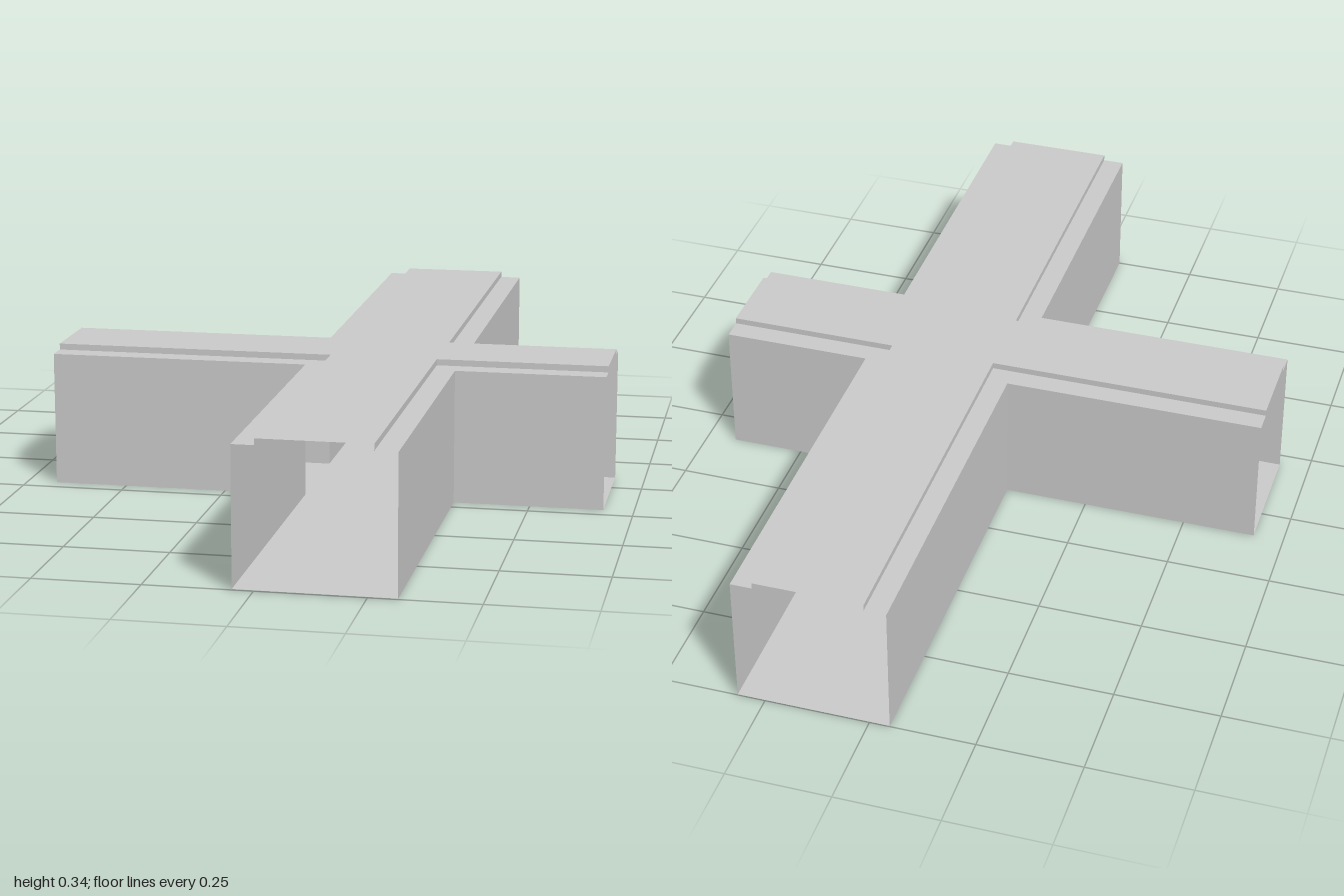
import * as THREE from 'three';

const H = 0.34, LEDGE_Y = 0.325, STEP = 0.052;
const END_X = 0.677, END_Z = 1;
// Outer faces of the two crossing corridors
const X0 = -0.048, X1 = 0.316, Z0 = -0.09, Z1 = 0.208;

const material = new THREE.MeshStandardMaterial({
  color: 0xcccccc, flatShading: true, side: THREE.DoubleSide,
});

// Flat plus-shaped sheet, drawn in from the outer walls by inset
function crossSheet(name, inset, y, faceUp) {
  const a = X0 + inset, b = X1 - inset, c = Z0 + inset, d = Z1 - inset;
  const outline = [
    [a, -END_Z], [b, -END_Z], [b, c], [END_X, c], [END_X, d], [b, d],
    [b, END_Z], [a, END_Z], [a, d], [-END_X, d], [-END_X, c], [a, c],
  ];
  // Shape y maps to -z when facing up, +z when facing down
  const k = faceUp ? -1 : 1;
  const shape = new THREE.Shape(outline.map(([x, z]) => new THREE.Vector2(x, z * k)));
  const geometry = new THREE.ShapeGeometry(shape);
  geometry.rotateX(faceUp ? -Math.PI / 2 : Math.PI / 2);
  const mesh = new THREE.Mesh(geometry, material);
  mesh.name = name;
  mesh.position.y = y;
  return mesh;
}

// Mitred L-shaped strip round one corner, between two [inset, y] profile points
function cornerStrip(name, sx, sz, [in0, y0], [in1, y1]) {
  const path = (inset, y) => {
    const x = (sx > 0 ? X1 : X0) - sx * inset;
    const z = (sz > 0 ? Z1 : Z0) - sz * inset;
    return [[sx * END_X, y, z], [x, y, z], [x, y, sz * END_Z]];
  };
  const low = path(in0, y0), high = path(in1, y1);
  const positions = [];
  for (let i = 0; i < 2; i++) {
    const [a, b, c, d] = [low[i], low[i + 1], high[i + 1], high[i]];
    const quad = sx * sz > 0 ? [a, c, b, a, d, c] : [a, b, c, a, c, d];
    positions.push(...quad.flat());
  }
  const geometry = new THREE.BufferGeometry();
  geometry.setAttribute('position', new THREE.Float32BufferAttribute(positions, 3));
  geometry.computeVertexNormals();
  const mesh = new THREE.Mesh(geometry, material);
  mesh.name = name;
  return mesh;
}

export function createModel() {
  const model = new THREE.Group();
  model.name = 'corridorCrossing';

  model.add(crossSheet('floor', 0, 0.002, false));
  model.add(crossSheet('raisedRoof', STEP, H, true));

  // Wall, roof ledge and riser round each of the four inside corners
  const profile = [[0, 0], [0, LEDGE_Y], [STEP, LEDGE_Y], [STEP, H]];
  const names = ['wall', 'roofLedge', 'roofRiser'];
  for (const sx of [-1, 1]) {
    for (const sz of [-1, 1]) {
      const corner = new THREE.Group();
      corner.name = (sz > 0 ? 'front' : 'back') + (sx > 0 ? 'Left' : 'Right') + 'Corner';
      names.forEach((name, i) =>
        corner.add(cornerStrip(name, sx, sz, profile[i], profile[i + 1])));
      model.add(corner);
    }
  }
  return model;
}
